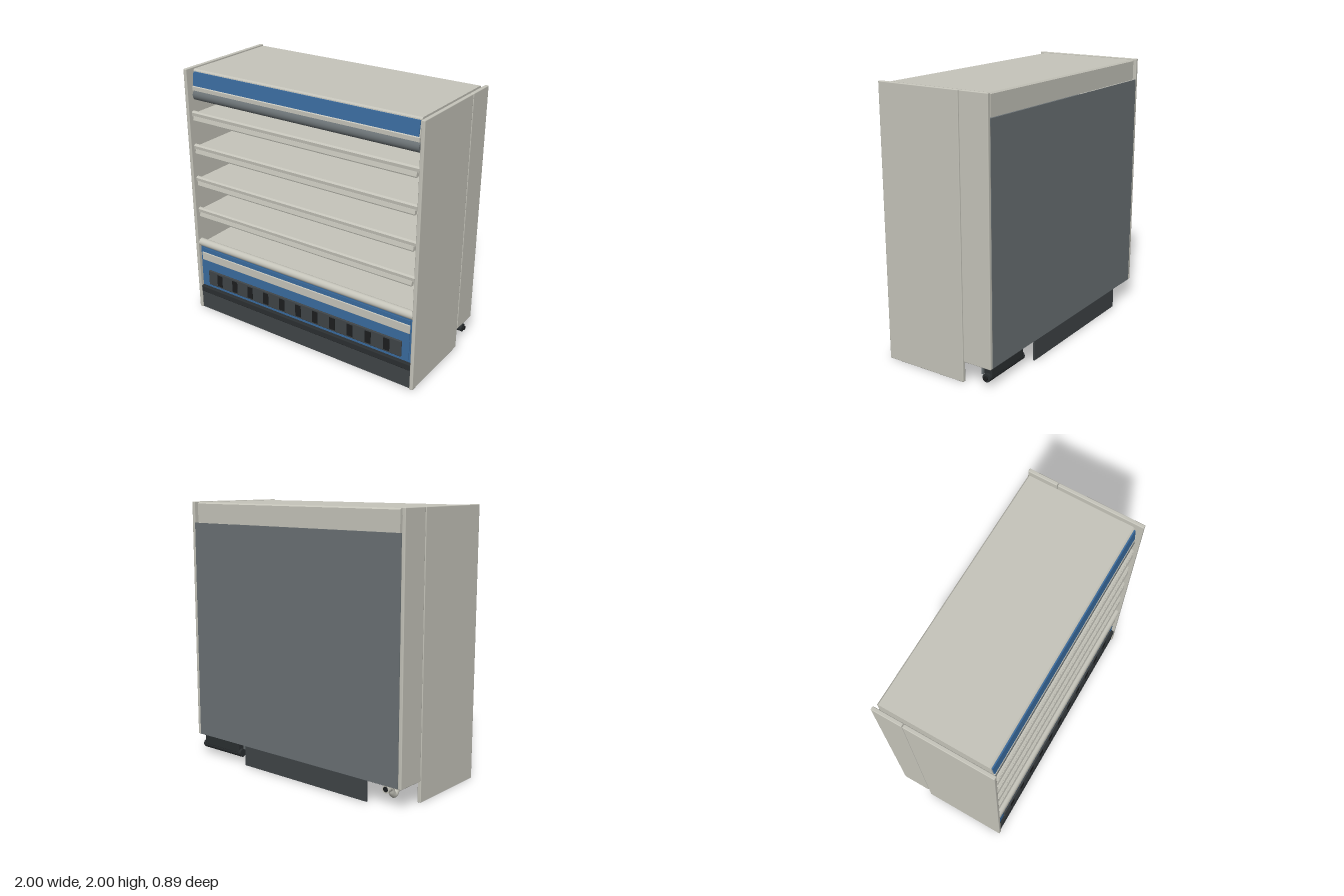
import * as THREE from 'three';
import { RoundedBoxGeometry } from 'three/addons/geometries/RoundedBoxGeometry.js';

const mat = (name, color, side = THREE.FrontSide) => {
  const m = new THREE.MeshStandardMaterial({ color, side });
  m.name = name;
  return m;
};

export function createModel() {
  const beige = mat('warm beige', 0xc5c4ba);
  const beigeOpen = beige; // pipe uses a capped end, so one side is enough
  const grey = mat('slate grey', 0x6a7174);
  const blue = mat('blue', 0x3a6b9e);
  const dark = mat('charcoal', 0x3f4447);
  const black = mat('near black', 0x2b2f31);
  const slot = mat('slot black', 0x1c1e1f);

  const model = new THREE.Group();
  model.name = 'displayCabinet';

  const add = (name, geo, material, parent = model) => {
    const mesh = new THREE.Mesh(geo, material);
    mesh.name = name;
    parent.add(mesh);
    return mesh;
  };
  // Box given by its limits; r rounds the edges
  const box = (name, material, [x0, x1], [y0, y1], [z0, z1], r = 0, parent = model) => {
    const s = [x1 - x0, y1 - y0, z1 - z0];
    const geo = r ? new RoundedBoxGeometry(...s, 2, r) : new THREE.BoxGeometry(...s);
    geo.translate((x0 + x1) / 2, (y0 + y1) / 2, (z0 + z1) / 2);
    return add(name, geo, material, parent);
  };
  // Cross-section in [z, y] swept across the width, from -w to +w
  const sweep = (name, material, w, pts, parent = model) => {
    const shape = new THREE.Shape(pts.map(([z, y]) => new THREE.Vector2(-z, y)));
    const geo = new THREE.ExtrudeGeometry(shape, { depth: 2 * w, bevelEnabled: false });
    geo.rotateY(Math.PI / 2).translate(-w, 0, 0);
    return add(name, geo, material, parent);
  };
  // Round bar along x
  const bar = (name, material, [x0, x1], y, z, r, parent = model) => {
    const geo = new THREE.CylinderGeometry(r, r, x1 - x0, 24);
    geo.rotateZ(Math.PI / 2).translate((x0 + x1) / 2, y, z);
    return add(name, geo, material, parent);
  };

  // Side panels: a tall front piece and a shorter rear piece
  for (const s of [-1, 1]) {
    const xs = s > 0 ? [0.972, 1] : [-1, -0.972];
    box('sidePanelFront', beige, xs, [0, 2], [-0.215, 0.445], 0.006);
    box('sidePanelRear', beige, xs, [0.155, 2], [-0.445, -0.219], 0.006);
  }

  // Body: back wall, base tub and ceiling
  box('backWall', grey, [-0.972, 0.972], [0.158, 1.84], [-0.445, -0.33]);
  box('baseFloor', black, [-0.972, 0.972], [0.155, 0.2], [-0.44, 0.42]);
  box('deck', beige, [-0.97, 0.97], [0.5, 0.575], [-0.33, 0.41]);
  box('ceiling', beige, [-0.97, 0.97], [1.815, 1.84], [-0.44, 0.36]);

  // Canopy with a slightly sloped blue fascia
  sweep('canopy', beige, 0.95, [
    [-0.43, 1.84], [0.415, 1.84], [0.415, 1.868], [0.405, 1.872],
    [0.39, 1.985], [0.38, 1.995], [-0.42, 1.995], [-0.43, 1.985],
  ]);
  sweep('canopyFascia', blue, 0.943, [
    [0.4, 1.875], [0.413, 1.875], [0.4, 1.978], [0.385, 1.978],
  ]);
  bar('blindRoll', grey, [-0.95, 0.95], 1.8, 0.375, 0.041);

  // Shelves with a front lip and a price rail
  for (let i = 0; i < 4; i++) {
    const y = 1.642 - i * 0.2625;
    const shelf = new THREE.Group();
    shelf.name = 'shelf';
    shelf.position.y = y;
    model.add(shelf);
    box('shelfPlate', beige, [-0.965, 0.965], [-0.005, 0.015], [-0.33, 0.405], 0, shelf);
    sweep('shelfLip', beige, 0.965, [
      [0.395, -0.005], [0.42, -0.005], [0.423, 0.025], [0.412, 0.036], [0.4, 0.036], [0.395, 0.015],
    ], shelf);
    sweep('priceRail', beige, 0.948, [
      [0.4, -0.037], [0.428, -0.037], [0.431, -0.028], [0.424, 0.002], [0.4, 0.002],
    ], shelf);
  }

  // Lower front: bumper tube, blue panel, beige strip
  bar('deckBumper', beige, [-0.97, 0.97], 0.588, 0.41, 0.031);
  box('frontPanel', blue, [-0.97, 0.97], [0.2, 0.56], [0.38, 0.418]);
  box('frontPanelCenter', blue, [-0.947, 0.947], [0.225, 0.545], [0.418, 0.424]);
  box('frontStrip', beige, [-0.95, 0.95], [0.443, 0.51], [0.42, 0.432], 0.004);

  // Ventilation grille with eleven slots
  box('grille', dark, [-0.89, 0.89], [0.235, 0.363], [0.42, 0.437], 0.006);
  for (let i = -5; i <= 5; i++) {
    const x = i * 0.1545;
    box('grilleSlot', slot, [x - 0.025, x + 0.025], [0.25, 0.347], [0.434, 0.44]);
  }

  // Plinth: black bumper above a kick plate
  box('plinthBumper', black, [-0.97, 0.97], [0.152, 0.204], [0.4, 0.445], 0.008);
  box('kickPlate', dark, [-0.97, 0.97], [0.004, 0.153], [0.42, 0.436]);
  box('rearKickPlate', dark, [-0.71, 0.465], [0.005, 0.156], [-0.444, -0.432]);

  // Black pump unit under the rear
  const pump = new THREE.Group();
  pump.name = 'pump';
  model.add(pump);
  box('pumpBody', black, [0.57, 0.95], [0.07, 0.155], [-0.418, -0.355], 0.01, pump);
  bar('pumpMotor', black, [0.55, 0.97], 0.07, -0.386, 0.031, pump);
  bar('pumpCap', slot, [0.96, 0.985], 0.07, -0.386, 0.016, pump);
  box('pumpBracket', grey, [0.6, 0.92], [0.06, 0.156], [-0.325, -0.312], 0, pump);

  // Drain trap: drop, U-bend and outlet facing the rear
  const trap = new THREE.CurvePath();
  const P = (y, z) => new THREE.Vector3(-0.82, y, z);
  const path = new THREE.CatmullRomCurve3([
    P(0.156, -0.243), P(0.11, -0.243), P(0.065, -0.246), P(0.036, -0.272),
    P(0.06, -0.3), P(0.09, -0.312), P(0.1, -0.335), P(0.1, -0.37),
  ]);
  add('drainTrap', new THREE.TubeGeometry(path, 40, 0.024, 16), beigeOpen);
  add('drainCollar', new THREE.CylinderGeometry(0.031, 0.031, 0.02, 20).translate(-0.82, 0.125, -0.243), beige);
  const ring = new THREE.CylinderGeometry(0.03, 0.03, 0.02, 20);
  ring.rotateX(Math.PI / 2).translate(-0.82, 0.1, -0.362);
  add('drainOutlet', ring, beige);
  const hole = new THREE.CircleGeometry(0.02, 20);
  hole.rotateY(Math.PI).translate(-0.82, 0.1, -0.374);
  add('drainOpening', hole, slot);

  return model;
}
